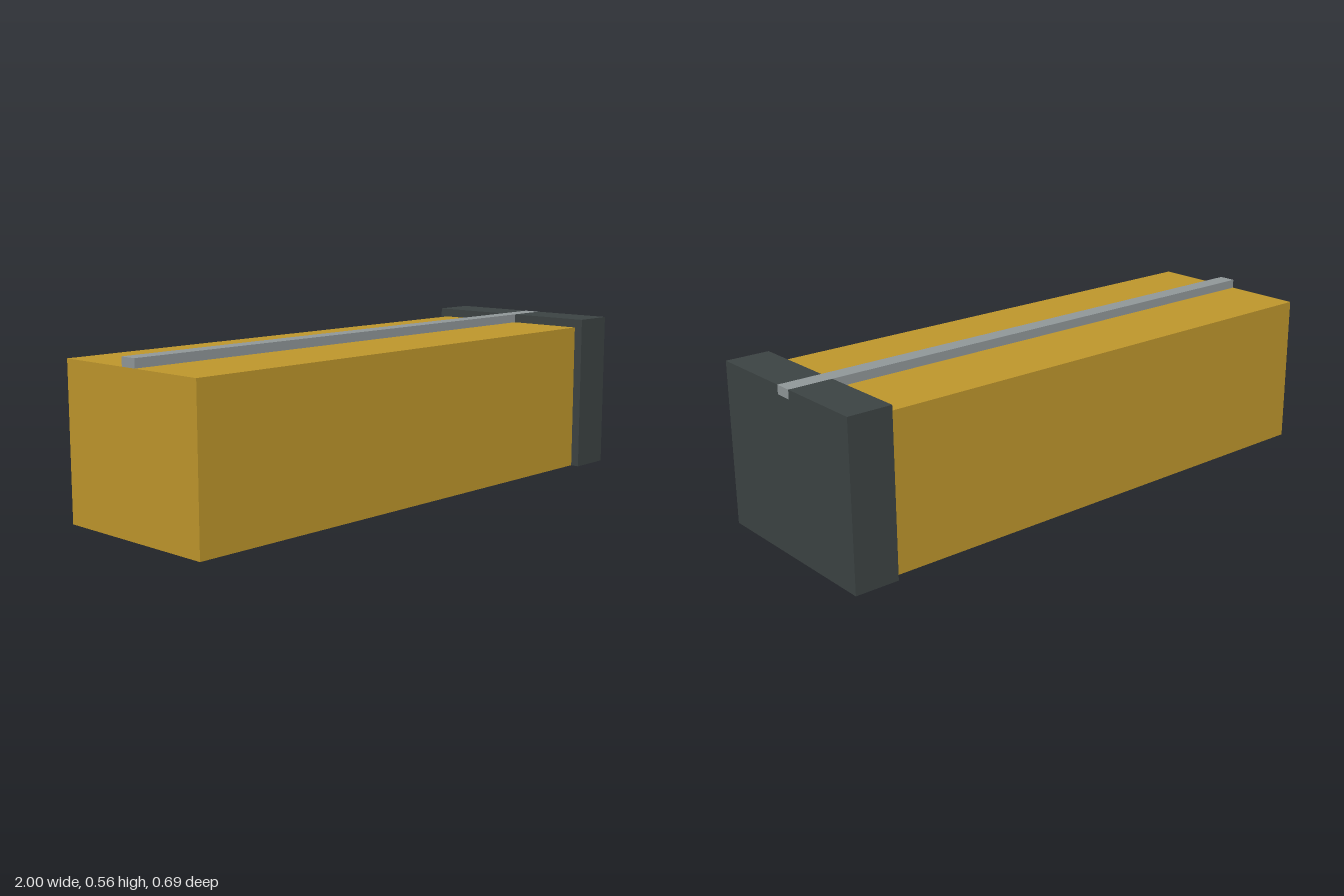
import * as THREE from 'three';

export function createModel() {
  const model = new THREE.Group();
  const gold = new THREE.MeshStandardMaterial({ name: 'ochre', color: 0xbe962c });
  const dark = new THREE.MeshStandardMaterial({ name: 'charcoal', color: 0x3c4343 });
  const grey = new THREE.MeshStandardMaterial({ name: 'steel grey', color: 0x909799 });

  const capX = 0.845, height = 0.563, railY = 0.532, railZ = 0.031, capZ = 0.344;

  // Box given by its extents in x and y, centred on z = 0
  function addBox(name, material, x0, x1, y0, y1, depth) {
    const mesh = new THREE.Mesh(new THREE.BoxGeometry(x1 - x0, y1 - y0, depth), material);
    mesh.name = name;
    mesh.position.set((x0 + x1) / 2, (y0 + y1) / 2, 0);
    model.add(mesh);
  }

  // Long body and the rail along its top
  addBox('body', gold, -1, capX, 0, railY, 0.626);
  addBox('topRail', grey, -1, 1, railY, height, railZ * 2);

  // End cap, notched at the top so the rail runs through it
  const profile = new THREE.Shape([
    [-capZ, 0], [capZ, 0], [capZ, height], [railZ, height],
    [railZ, railY], [-railZ, railY], [-railZ, height], [-capZ, height],
  ].map(([z, y]) => new THREE.Vector2(z, y)));
  const capGeometry = new THREE.ExtrudeGeometry(profile, { depth: 1 - capX, bevelEnabled: false });
  capGeometry.rotateY(Math.PI / 2);
  const cap = new THREE.Mesh(capGeometry, dark);
  cap.name = 'endCap';
  cap.position.x = capX;
  model.add(cap);

  return model;
}
